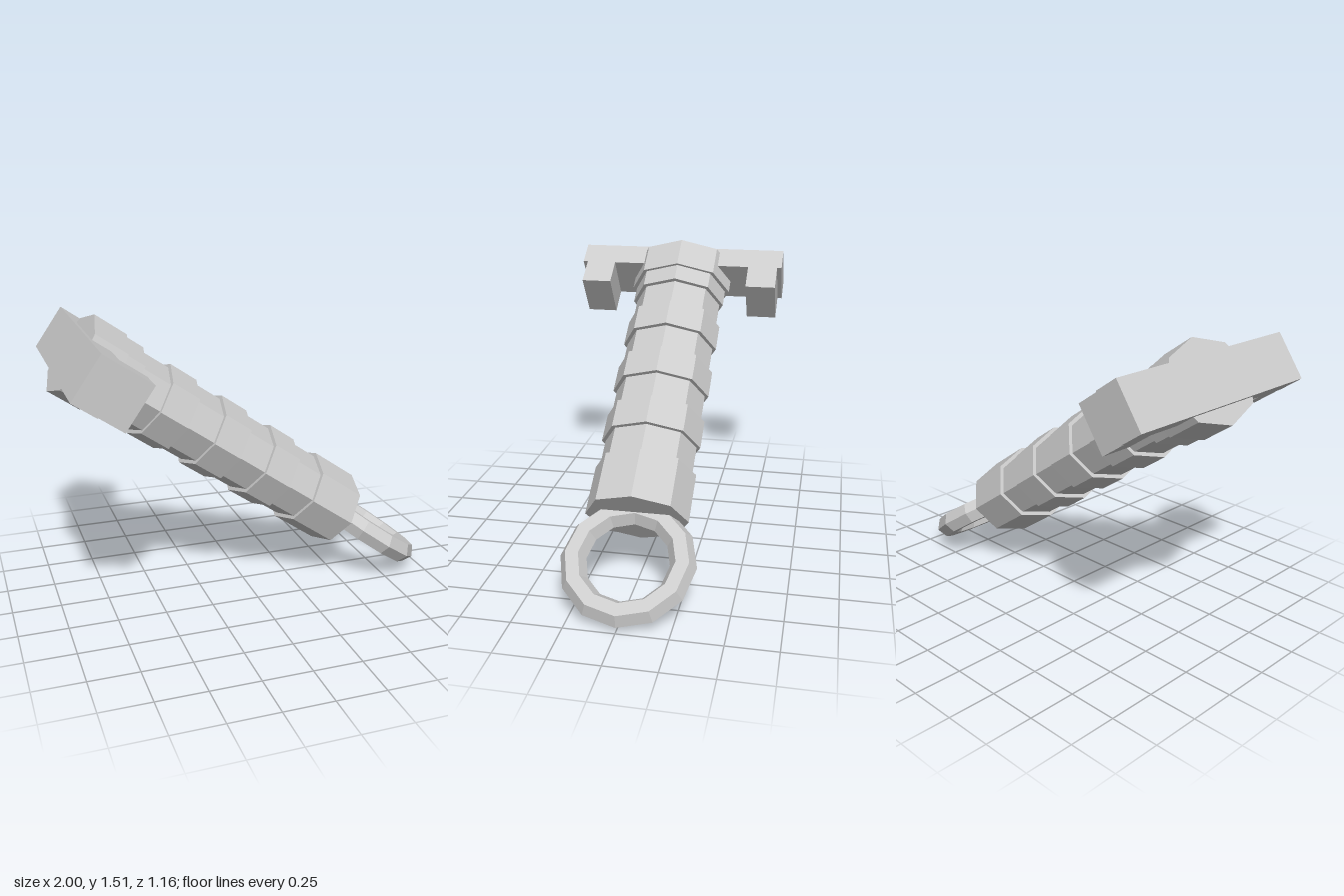
import * as THREE from 'three';

export function createModel() {
  const material = new THREE.MeshStandardMaterial({ color: 0xcccccc, flatShading: true });
  const model = new THREE.Group();
  model.name = 'swordHilt';

  // The hilt is built upright along its own y axis, then tilted into place
  const hilt = new THREE.Group();
  hilt.name = 'hilt';
  hilt.position.set(0.525, 0.36, 0);
  hilt.rotation.z = THREE.MathUtils.degToRad(55);
  model.add(hilt);

  const add = (name, geometry, x, y, z) => {
    const mesh = new THREE.Mesh(geometry, material);
    mesh.name = name;
    mesh.position.set(x, y, z);
    hilt.add(mesh);
    return mesh;
  };

  // Flattened octagonal section from y0 to y1
  const octagon = (name, rx, rz, y0, y1) => {
    const geometry = new THREE.CylinderGeometry(1, 1, y1 - y0, 8);
    geometry.scale(rx, 1, rz);
    return add(name, geometry, 0, (y0 + y1) / 2, 0);
  };

  // Grip core with raised bands
  octagon('gripCore', 0.185, 0.24, 0.02, 1.6);
  octagon('pommel', 0.206, 0.26, 0, 0.27);
  for (let i = 1; i <= 4; i++) {
    const y0 = 0.107 + i * 0.327;
    octagon('gripBand' + i, 0.206, 0.26, y0, y0 + 0.163);
  }
  octagon('collar', 0.218, 0.283, 1.52, 1.708);

  // Crossguard with a prong near each end
  add('crossguard', new THREE.BoxGeometry(0.25, 0.137, 1.16), 0, 1.671, 0);
  for (const side of [-1, 1]) {
    add(side > 0 ? 'frontProng' : 'backProng',
      new THREE.BoxGeometry(0.25, 0.16, 0.165), 0, 1.53, side * 0.4725);
  }

  // Ring at the end of the pommel
  const ring = add('pommelRing', new THREE.TorusGeometry(0.268, 0.065, 6, 12), 0, -0.24, 0);
  ring.rotation.y = Math.PI / 2;

  return model;
}
